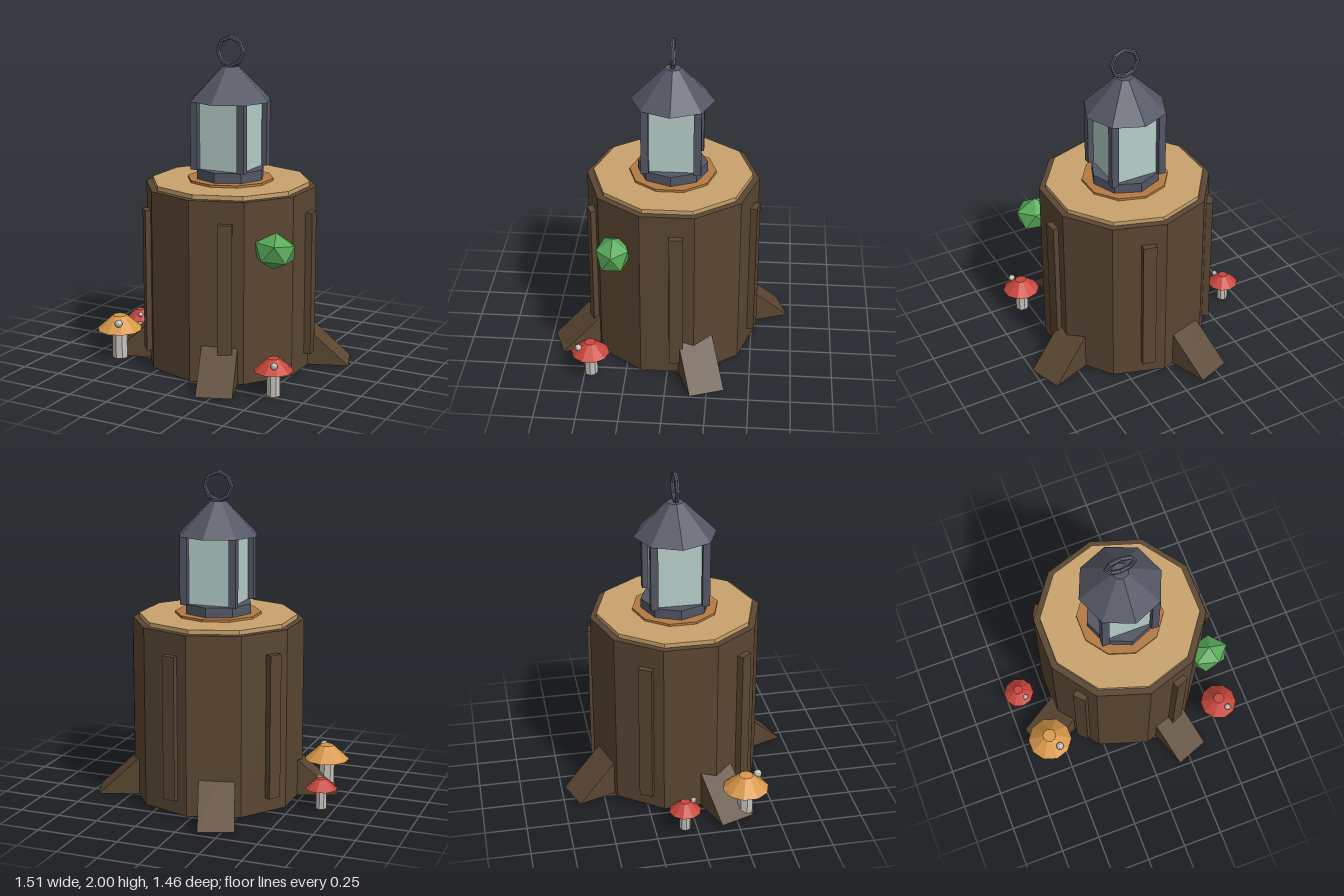
import * as THREE from 'three';

const paint = (name, color) => {
  const m = new THREE.MeshStandardMaterial({ color });
  m.name = name;
  m.flatShading = true;
  return m;
};

export function createModel() {
  const bark = paint('bark brown', 0x5a4632);
  const wood = paint('cut wood tan', 0xc8a26c);
  const ringWood = paint('growth ring orange', 0xb47a42);
  const metal = paint('lantern metal', 0x535664);
  const glass = paint('pale glass', 0xb6cfc9);
  const red = paint('cap red', 0xc8463c);
  const orange = paint('cap orange', 0xd8984a);
  const cream = paint('stem grey', 0xc6c3bc);
  const moss = paint('moss green', 0x58a858);

  const model = new THREE.Group();
  model.name = 'stumpLantern';
  const add = (name, geo, mat, parent, x = 0, y = 0, z = 0) => {
    const mesh = new THREE.Mesh(geo, mat);
    mesh.name = name;
    mesh.position.set(x, y, z);
    parent.add(mesh);
    return mesh;
  };
  // Upright prism or frustum from y0 to y1
  const drum = (name, rTop, rBottom, y0, y1, sides, mat, parent) =>
    add(name, new THREE.CylinderGeometry(rTop, rBottom, y1 - y0, sides), mat, parent, 0, (y0 + y1) / 2, 0);

  // Stump
  const stump = new THREE.Group();
  stump.name = 'stump';
  stump.position.x = 0.024;
  model.add(stump);
  drum('trunk', 0.52, 0.52, 0.01, 1.105, 10, bark, stump);
  drum('cutTop', 0.48, 0.48, 1.1, 1.131, 10, wood, stump);
  drum('growthRing', 0.262, 0.262, 1.12, 1.145, 10, ringWood, stump);

  // Bark ridges around the trunk
  for (let i = 0; i < 5; i++) {
    const a = THREE.MathUtils.degToRad(24 + 72 * i);
    const ridge = add('barkRidge', new THREE.BoxGeometry(0.082, 0.875, 0.06), bark, stump,
      Math.sin(a) * 0.504, 0.536, Math.cos(a) * 0.504);
    ridge.rotation.y = a;
  }

  // Wedge roots: a triangle profile (radius, height) extruded across its width
  const profile = new THREE.Shape([
    new THREE.Vector2(0.3, 0.01), new THREE.Vector2(0.737, 0.01), new THREE.Vector2(0.3, 0.41),
  ]);
  const rootGeo = new THREE.ExtrudeGeometry(profile, { depth: 0.214, bevelEnabled: false });
  rootGeo.translate(0, 0, -0.107).rotateY(-Math.PI / 2);
  for (let i = 0; i < 4; i++) {
    add('root', rootGeo, bark, stump).rotation.y = THREE.MathUtils.degToRad(20 + 90 * i);
  }

  // Lantern
  const lantern = new THREE.Group();
  lantern.name = 'lantern';
  lantern.position.x = 0.024;
  model.add(lantern);
  drum('lanternBase', 0.21, 0.21, 1.14, 1.205, 8, metal, lantern);
  add('glassPane', new THREE.BoxGeometry(0.285, 0.41, 0.285), glass, lantern, 0, 1.41, 0);
  for (const x of [-1, 1]) for (const z of [-1, 1]) {
    add('cornerPost', new THREE.BoxGeometry(0.045, 0.41, 0.045), metal, lantern, x * 0.155, 1.41, z * 0.155);
  }
  drum('lanternRoof', 0.05, 0.25, 1.613, 1.815, 8, metal, lantern);
  add('carryRing', new THREE.TorusGeometry(0.085, 0.013, 6, 8), metal, lantern, 0, 1.902, 0);

  // Mushrooms, all one design at different sizes
  const mushroom = (x, z, s, mat) => {
    const g = new THREE.Group();
    g.name = 'mushroom';
    g.position.set(x, 0, z);
    g.scale.setScalar(s);
    model.add(g);
    drum('stem', 0.05, 0.05, 0, 0.19, 8, cream, g);
    drum('cap', 0.042, 0.14, 0.182, 0.27, 10, mat, g);
    add('capSpot', new THREE.IcosahedronGeometry(0.025, 1), cream, g, 0.042, 0.243, 0.082);
  };
  mushroom(0.545, 0.463, 0.83, red);
  mushroom(-0.582, 0.318, 1, orange);
  mushroom(-0.665, -0.07, 0.69, red);

  // Moss clump on the trunk side
  const mossGeo = new THREE.IcosahedronGeometry(0.11, 0);
  mossGeo.rotateZ(THREE.MathUtils.degToRad(-35)).scale(1.25, 1, 1);
  add('mossClump', mossGeo, moss, model, 0.477, 0.815, 0.32);

  return model;
}
